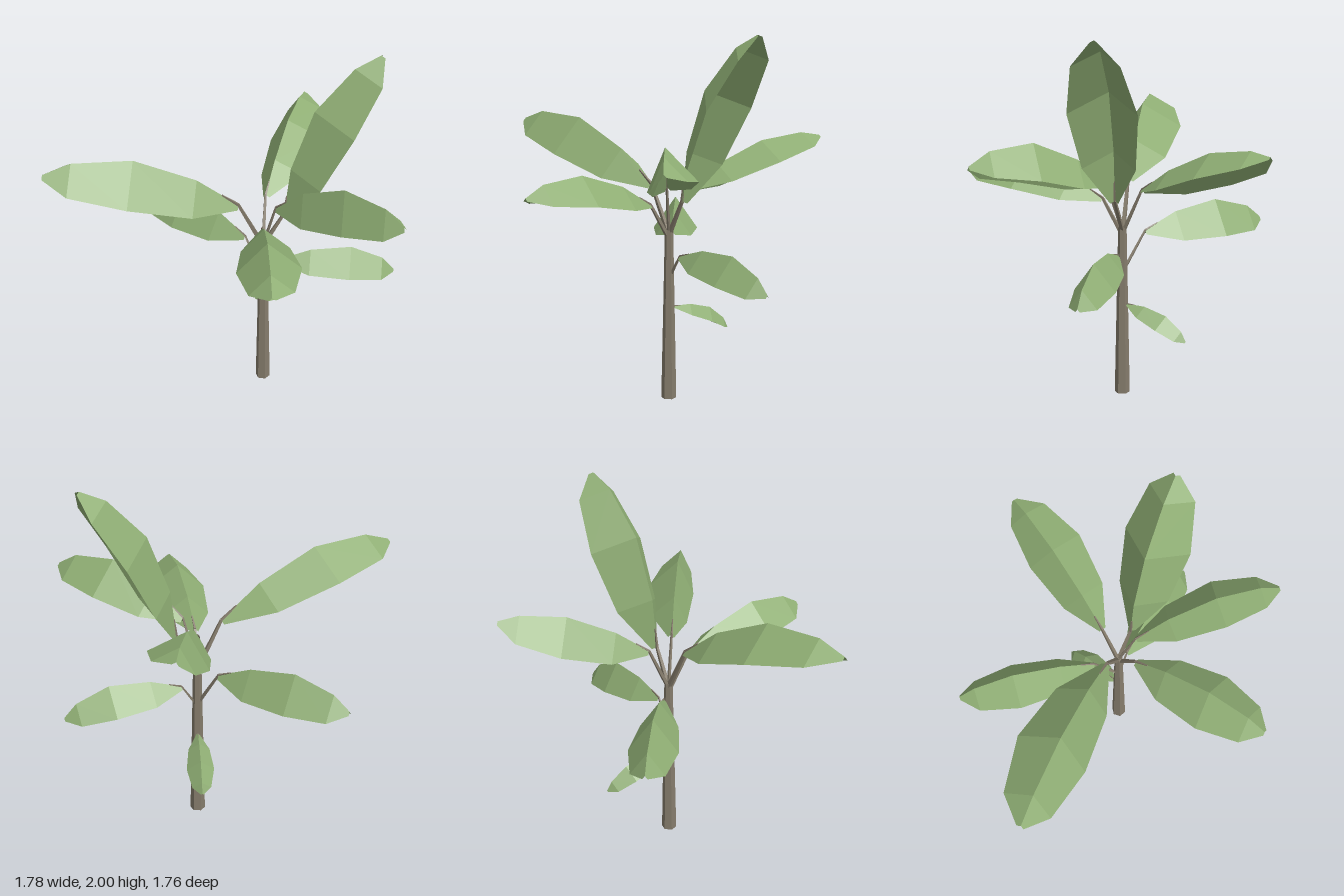
import * as THREE from 'three';

const leafMat = new THREE.MeshStandardMaterial({ color: 0x8fae74, flatShading: true, side: THREE.DoubleSide });
const barkMat = new THREE.MeshStandardMaterial({ color: 0x857c6c, flatShading: true });
const UP = new THREE.Vector3(0, 1, 0);
const vec = (x, y, z) => new THREE.Vector3(x, y, z);

// Shared leaf pattern: place along the leaf, arch height and width, each as a fraction
const STATIONS = [
  { t: 0, arch: 0, width: 0.12 },
  { t: 0.25, arch: 0.66, width: 0.78 },
  { t: 0.59, arch: 1, width: 1 },
  { t: 0.88, arch: 0.55, width: 0.68 },
  { t: 1, arch: 0, width: 0.1 },
];

// Each leaf runs from base to tip; stalk is the height where it leaves the trunk
const LEAVES = [
  { name: 'tallBackLeaf', base: vec(0.09, 1.12, -0.13), tip: vec(0.39, 2, -0.52), arch: 0.157, width: 0.18, fold: 0.19, roll: 0, stalk: 0.92 },
  { name: 'frontRightLeaf', base: vec(-0.08, 1.19, 0.05), tip: vec(-0.67, 1.5, 0.87), arch: 0.16, width: 0.19, fold: 0.18, roll: 0.2, stalk: 0.92 },
  { name: 'backRightLeaf', base: vec(-0.06, 1.17, -0.15), tip: vec(-0.38, 1.44, -0.87), arch: 0.095, width: 0.16, fold: 0.15, roll: 0.25, stalk: 0.92 },
  { name: 'leftLeaf', base: vec(0.1, 1.2, -0.05), tip: vec(0.88, 1.37, -0.1), arch: 0.16, width: 0.13, fold: 0.2, roll: -0.2, stalk: 0.92 },
  { name: 'frontLeftLeaf', base: vec(0.08, 1.1, 0.04), tip: vec(0.63, 1.21, 0.6), arch: 0.13, width: 0.165, fold: 0.15, roll: -0.05, stalk: 0.9 },
  { name: 'lowRightLeaf', base: vec(-0.13, 0.92, -0.06), tip: vec(-0.89, 0.91, -0.035), arch: 0.13, width: 0.13, fold: 0.185, roll: 0, stalk: 0.7 },
  { name: 'lowBackLeftLeaf', base: vec(0.07, 0.82, -0.12), tip: vec(0.52, 0.72, -0.59), arch: 0.12, width: 0.11, fold: 0.15, roll: 0, stalk: 0.68 },
  { name: 'smallTrunkLeaf', base: vec(-0.01, 0.52, -0.08), tip: vec(-0.215, 0.36, -0.37), arch: 0.065, width: 0.075, fold: 0.07, roll: 0, stalk: 0.49 },
];

// Arched midrib points of a leaf, with its side and upward directions
function leafFrame({ base, tip, arch }) {
  const along = tip.clone().sub(base).normalize();
  const side = along.clone().cross(UP).normalize();
  const normal = side.clone().cross(along);
  const midrib = STATIONS.map((s) => base.clone().lerp(tip, s.t).addScaledVector(normal, arch * s.arch));
  return { along, side, normal, midrib };
}

// Roof-shaped blade: each station has one edge, the raised midrib and the other edge
function bladeGeometry({ width, fold, roll }, { along, side, normal, midrib }) {
  const edgeSide = side.clone().applyAxisAngle(along, -roll);
  const edgeUp = normal.clone().applyAxisAngle(along, -roll);
  const pos = [], index = [];
  midrib.forEach((p, i) => {
    const w = STATIONS[i].width;
    for (const s of [-1, 0, 1]) {
      const v = p.clone().addScaledVector(edgeSide, s * width * w).addScaledVector(edgeUp, -Math.abs(s) * fold * w);
      pos.push(v.x, v.y, v.z);
    }
    if (i === 0) return;
    for (const k of [0, 1]) {
      const a = (i - 1) * 3 + k;
      index.push(a, a + 1, a + 4, a, a + 4, a + 3);
    }
  });
  const geo = new THREE.BufferGeometry();
  geo.setAttribute('position', new THREE.Float32BufferAttribute(pos, 3));
  geo.setIndex(index);
  geo.computeVertexNormals();
  return geo;
}

// Tapered stick between two points
function stick(a, b, r0, r1) {
  const dir = b.clone().sub(a);
  const mesh = new THREE.Mesh(new THREE.CylinderGeometry(r1, r0, dir.length(), 4), barkMat);
  mesh.position.copy(a).add(b).multiplyScalar(0.5);
  mesh.quaternion.setFromUnitVectors(UP, dir.normalize());
  mesh.name = 'stalkSegment';
  return mesh;
}

export function createModel() {
  const plant = new THREE.Group();
  plant.name = 'plant';

  // Trunk
  const trunk = new THREE.Mesh(new THREE.CylinderGeometry(0.023, 0.042, 0.95, 6), barkMat);
  trunk.position.set(0.008, 0.475, -0.055);
  trunk.name = 'trunk';
  plant.add(trunk);

  // Leaves, each with a bent stalk that runs on into the midrib
  for (const leaf of LEAVES) {
    const group = new THREE.Group();
    group.name = leaf.name;
    const frame = leafFrame(leaf);
    const blade = new THREE.Mesh(bladeGeometry(leaf, frame), leafMat);
    blade.name = 'blade';

    const start = vec(0.005, leaf.stalk, -0.055);
    const bend = start.clone().lerp(leaf.base, 0.55);
    const end = leaf.base.clone().lerp(frame.midrib[1], 0.4);
    const r = Math.min(0.015, leaf.width * 0.08);
    group.add(
      blade,
      stick(start, bend, r, r * 0.85),
      stick(bend, leaf.base, r * 0.85, r * 0.65),
      stick(leaf.base, end, r * 0.65, r * 0.3),
    );
    plant.add(group);
  }
  return plant;
}
